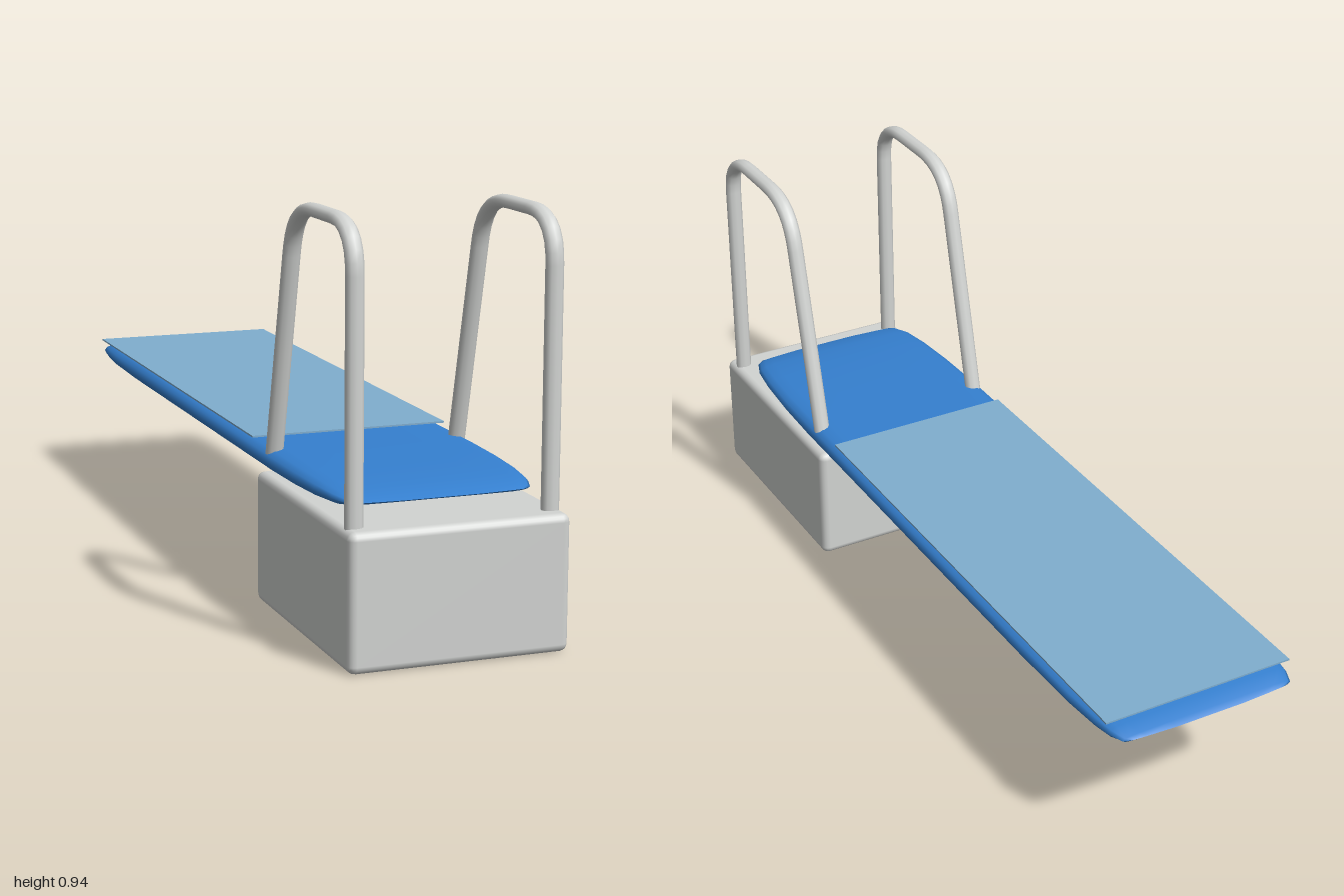
import * as THREE from 'three';
import { RoundedBoxGeometry } from 'three/addons/geometries/RoundedBoxGeometry.js';

const blue = new THREE.MeshStandardMaterial({ name: 'boardBlue', color: 0x3580d0 });
const paleBlue = new THREE.MeshStandardMaterial({ name: 'padPaleBlue', color: 0x80aecf });
const grey = new THREE.MeshStandardMaterial({ name: 'lightGrey', color: 0xd2d4d2 });

function part(name, geometry, material) {
  const mesh = new THREE.Mesh(geometry, material);
  mesh.name = name;
  return mesh;
}

// Soft plank lofted from cross-sections along z: [z, half width, half thickness]
function boardGeometry() {
  const sections = [
    [-1, 0.195, 0], [-0.985, 0.215, 0.008], [-0.95, 0.229, 0.017], [-0.9, 0.237, 0.021],
    [-0.8, 0.244, 0.024], [-0.6, 0.247, 0.027], [0.5, 0.247, 0.027], [0.64, 0.244, 0.025],
    [0.75, 0.237, 0.022], [0.83, 0.226, 0.017], [0.875, 0.209, 0.008], [0.9, 0.19, 0],
  ];
  const quarter = [[1, 0], [0.97, 0.5], [0.91, 0.8], [0.8, 0.95], [0.45, 1]];
  const ring = [
    ...quarter,
    ...quarter.slice(1).reverse().map(([x, y]) => [-x, y]),
    ...quarter.map(([x, y]) => [-x, -y]),
    ...quarter.slice(1).reverse().map(([x, y]) => [x, -y]),
  ].filter(([x, y], i, all) => i === 0 || x !== all[i - 1][0] || y !== all[i - 1][1]);
  const n = ring.length;
  const positions = [];
  const indices = [];
  sections.forEach(([z, w, h], i) => {
    const bow = i === 0 ? 0.008 : i === sections.length - 1 ? -0.01 : 0;
    for (const [x, y] of ring) positions.push(x * w, 0.333 + y * h, z + bow * x * x);
    if (i === 0) return;
    for (let j = 0; j < n; j++) {
      const k = (j + 1) % n;
      const a = (i - 1) * n + j, b = (i - 1) * n + k, c = i * n + k, d = i * n + j;
      indices.push(a, b, c, a, c, d);
    }
  });
  const geometry = new THREE.BufferGeometry();
  geometry.setAttribute('position', new THREE.Float32BufferAttribute(positions, 3));
  geometry.setIndex(indices);
  geometry.computeVertexNormals();
  return geometry;
}

// Handrail tube: upright post, rounded top, sloping rear leg; wider across than deep
function railGeometry() {
  const v = (y, z) => new THREE.Vector3(0, y, z);
  const path = new THREE.CurvePath();
  path.add(new THREE.LineCurve3(v(0.29, 0.95), v(0.82, 0.95)));
  path.add(new THREE.CubicBezierCurve3(v(0.82, 0.95), v(0.89, 0.95), v(0.922, 0.91), v(0.922, 0.84)));
  path.add(new THREE.LineCurve3(v(0.922, 0.84), v(0.922, 0.72)));
  path.add(new THREE.CubicBezierCurve3(v(0.922, 0.72), v(0.922, 0.64), v(0.89, 0.595), v(0.82, 0.575)));
  path.add(new THREE.LineCurve3(v(0.82, 0.575), v(0.345, 0.457)));
  return new THREE.TubeGeometry(path, 60, 0.015, 10).scale(1.35, 1, 1);
}

export function createModel() {
  const model = new THREE.Group();
  model.name = 'divingBoard';

  // Pedestal with softened edges
  const base = part('base', new RoundedBoxGeometry(0.496, 0.3, 0.59, 2, 0.018), grey);
  base.position.set(0, 0.15, 0.705);
  model.add(base);

  model.add(part('board', boardGeometry(), blue));

  // Thin grip pad on top of the board
  const pad = part('gripPad', new THREE.BoxGeometry(0.47, 0.004, 1.3), paleBlue);
  pad.position.set(0, 0.363, -0.3);
  model.add(pad);

  // Handrails
  const rail = railGeometry();
  for (const [name, x] of [['leftHandrail', 0.22], ['rightHandrail', -0.22]]) {
    const mesh = part(name, rail, grey);
    mesh.position.x = x;
    model.add(mesh);
  }
  return model;
}
